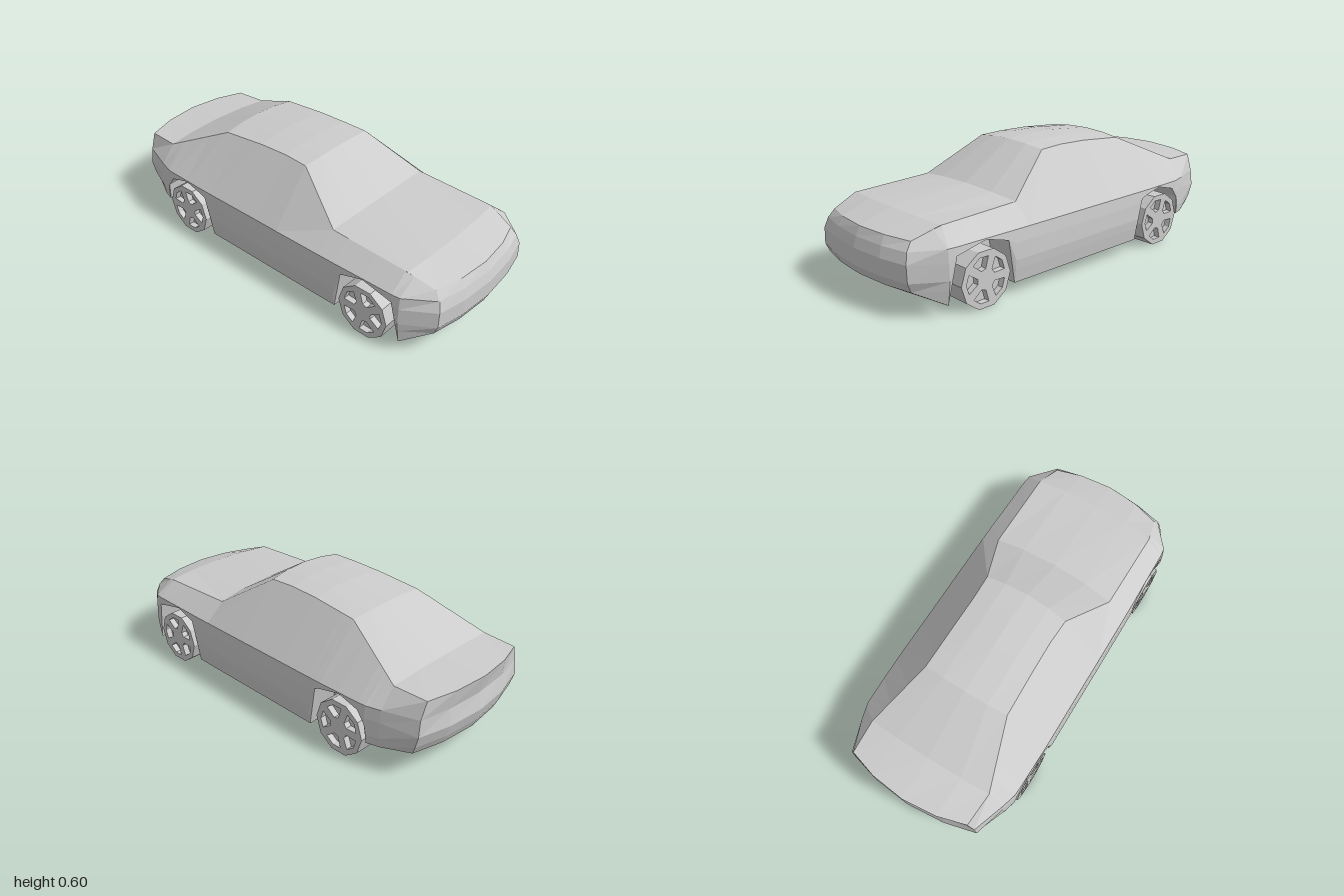
import * as THREE from 'three';

const grey = new THREE.MeshStandardMaterial({ color: 0xcccccc, flatShading: true, side: THREE.DoubleSide });

// Surface through columns of points: columns run to the right, points run up.
function grid(cols, closed = false) {
  const pos = [];
  const tri = (a, b, c) => {
    const area = b.clone().sub(a).cross(c.clone().sub(a)).length();
    if (area > 1e-7) for (const p of [a, b, c]) pos.push(p.x, p.y, p.z);
  };
  const n = cols.length;
  for (let i = 0; i < (closed ? n : n - 1); i++) {
    const L = cols[i], R = cols[(i + 1) % n];
    for (let j = 0; j < L.length - 1; j++) {
      tri(L[j], R[j], R[j + 1]);
      tri(L[j], R[j + 1], L[j + 1]);
    }
  }
  const g = new THREE.BufferGeometry();
  g.setAttribute('position', new THREE.Float32BufferAttribute(pos, 3));
  g.computeVertexNormals();
  return g;
}

const V = (x, y, z) => new THREE.Vector3(x, y, z);
const flip = p => V(-p.x, p.y, p.z);

// Linear interpolation in a table whose first column falls.
function sample(table, k) {
  for (let i = 0; i < table.length - 1; i++) {
    const a = table[i], b = table[i + 1];
    if (k <= a[0] && k >= b[0]) {
      const t = (a[0] - k) / (a[0] - b[0]);
      return a.map((v, n) => v + (b[n] - v) * t);
    }
  }
  return k > table[0][0] ? table[0] : table[table.length - 1];
}

// Upper surface: z, half width, edge height, centre height, bow of the centre in z
const TOP = [
  [0.91, 0.30, 0.338, 0.343, 0.055],
  [0.78, 0.33, 0.383, 0.393, 0.02],
  [0.36, 0.33, 0.397, 0.42, 0.02],
  [0.09, 0.22, 0.572, 0.592, 0.015],
  [-0.04, 0.215, 0.576, 0.597, 0],
  [-0.2, 0.218, 0.571, 0.592, 0],
  [-0.44, 0.225, 0.55, 0.566, -0.01],
  [-0.77, 0.33, 0.397, 0.413, -0.01],
  [-0.94, 0.32, 0.393, 0.402, -0.06],
];
function topPoint(z, t) {
  const [k, w, edge, mid, bow] = sample(TOP, z);
  const c = 1 - t * t;
  return V(w * t, edge + (mid - edge) * c, k + bow * c);
}

// Bulge of the flanks by height
const FLANK = [[0.31, 0.98], [0.26, 0.993], [0.16, 1], [0.055, 0.965]];
// Flank stations: z, half width, lower edge (raised over the wheels)
const SIDE = [
  [0.81, 0.425, 0.057], [0.77, 0.43, 0.272], [0.61, 0.433, 0.305], [0.49, 0.436, 0.272],
  [0.45, 0.437, 0.06], [0.36, 0.438, 0.06], [0.09, 0.44, 0.06], [-0.04, 0.44, 0.06],
  [-0.2, 0.441, 0.06], [-0.37, 0.442, 0.06], [-0.41, 0.442, 0.272], [-0.44, 0.442, 0.282],
  [-0.55, 0.44, 0.305], [-0.66, 0.438, 0.275], [-0.70, 0.435, 0.22], [-0.71, 0.432, 0.125],
  [-0.77, 0.415, 0.125],
];
const flank = ([z, w, low]) => [
  ...[low, 0.125, 0.17, 0.25, 0.31].map(l => {
    const y = Math.max(l, low);
    return V(w * sample(FLANK, y)[1], y, z);
  }),
  topPoint(z, 1),
];

// Nose and tail columns, t = 0 at the centre and 1 at the corner
const LEVELS = [0.125, 0.17, 0.25, 0.3];
function endColumn(t, front) {
  const c = 1 - t * t;
  const z = front ? 0.955 + 0.045 * c : -0.94 - 0.06 * c;
  const w = front ? [0.325, 0.33, 0.326, 0.312] : [0.345, 0.355, 0.36, 0.35];
  const dz = front ? [-0.02, 0, 0, -0.015] : [0.04, 0.02, 0.003, 0.005 + 0.015 * c];
  const col = LEVELS.map((y, i) => V(w[i] * t, i < 1 || front ? y : [0, 0.17, 0.23, 0.31][i], z + dz[i]));
  return [col[0], col[0].clone(), ...col.slice(1), topPoint(front ? 0.91 : -0.94, t)];
}

function createBody() {
  const body = new THREE.Group();
  body.name = 'body';
  const add = (name, geo) => {
    const m = new THREE.Mesh(geo, grey);
    m.name = name;
    body.add(m);
  };
  // Nose, flanks and tail as one closed belt
  const half = [
    ...[0, 0.55, 1].map(t => endColumn(t, true)),
    ...SIDE.map(flank),
    ...[1, 0.55, 0].map(t => endColumn(t, false)),
  ];
  const mirrored = half.slice(1, -1).reverse().map(c => c.map(flip));
  add('bodySides', grid([...half, ...mirrored], true));

  // Bonnet, windscreen, roof, rear window and boot lid
  const ts = [-1, -0.55, 0, 0.55, 1];
  add('bonnetRoofAndBoot', grid(ts.map(t => TOP.map(k => topPoint(k[0], t)))));

  // Floor with the wheel wells folded into it
  const floorY = z => sample([[0.81, 0.057], [-0.37, 0.06], [-0.71, 0.125]], z)[1];
  const fold = (c, inner) => [flip(c[0]), ...inner.map(flip), V(0, inner[1].y, inner[1].z), ...inner.slice().reverse(), c[0]];
  const endFold = front => {
    const s = [-1, -0.55, -0.55, 0, 0.55, 0.55, 1];
    return s.map(t => {
      const p = endColumn(Math.abs(t), front)[0];
      return t < 0 ? flip(p) : p;
    });
  };
  const sections = SIDE.map(s => {
    const z = s[0];
    return fold(flank(s), [V(0.29, s[2], z), V(0.29, floorY(z), z)]);
  });
  add('floorAndWheelWells', grid([endFold(true), ...sections, endFold(false)]));
  return body;
}

// Ten-sided wheel with five recessed openings; side is +1 for left
function createWheel(side) {
  const wheel = new THREE.Group();
  const R = 0.137, depth = 0.03, width = 0.12;
  const polar = (r, a) => new THREE.Vector2(r * Math.cos(a), r * Math.sin(a));
  const face = new THREE.Shape(Array.from({ length: 10 }, (_, i) => polar(R, i * Math.PI / 5)));
  for (let i = 0; i < 5; i++) {
    const a = (side > 0 ? Math.PI : 0) + i * Math.PI * 0.4;
    face.holes.push(new THREE.Path([
      polar(0.05, a - 0.25), polar(0.05, a + 0.25), polar(0.105, a + 0.43),
      polar(0.11, a), polar(0.105, a - 0.43),
    ]));
  }
  const rim = new THREE.Mesh(new THREE.ExtrudeGeometry(face, { depth, bevelEnabled: false }), grey);
  rim.name = 'spokedRim';
  rim.rotation.y = side * Math.PI / 2;
  rim.position.x = side * (width / 2 - depth);
  const tyre = new THREE.Mesh(new THREE.CylinderGeometry(R, R, width - depth, 10).rotateZ(Math.PI / 2), grey);
  tyre.name = 'tyre';
  tyre.position.x = -side * depth / 2;
  wheel.add(rim, tyre);
  return wheel;
}

export function createModel() {
  const car = new THREE.Group();
  car.name = 'car';
  car.add(createBody());
  for (const [end, z] of [['front', 0.622], ['rear', -0.555]]) {
    for (const side of [1, -1]) {
      const wheel = createWheel(side);
      wheel.name = end + (side > 0 ? 'Left' : 'Right') + 'Wheel';
      wheel.position.set(side * 0.374, 0.13, z);
      car.add(wheel);
    }
  }
  return car;
}
